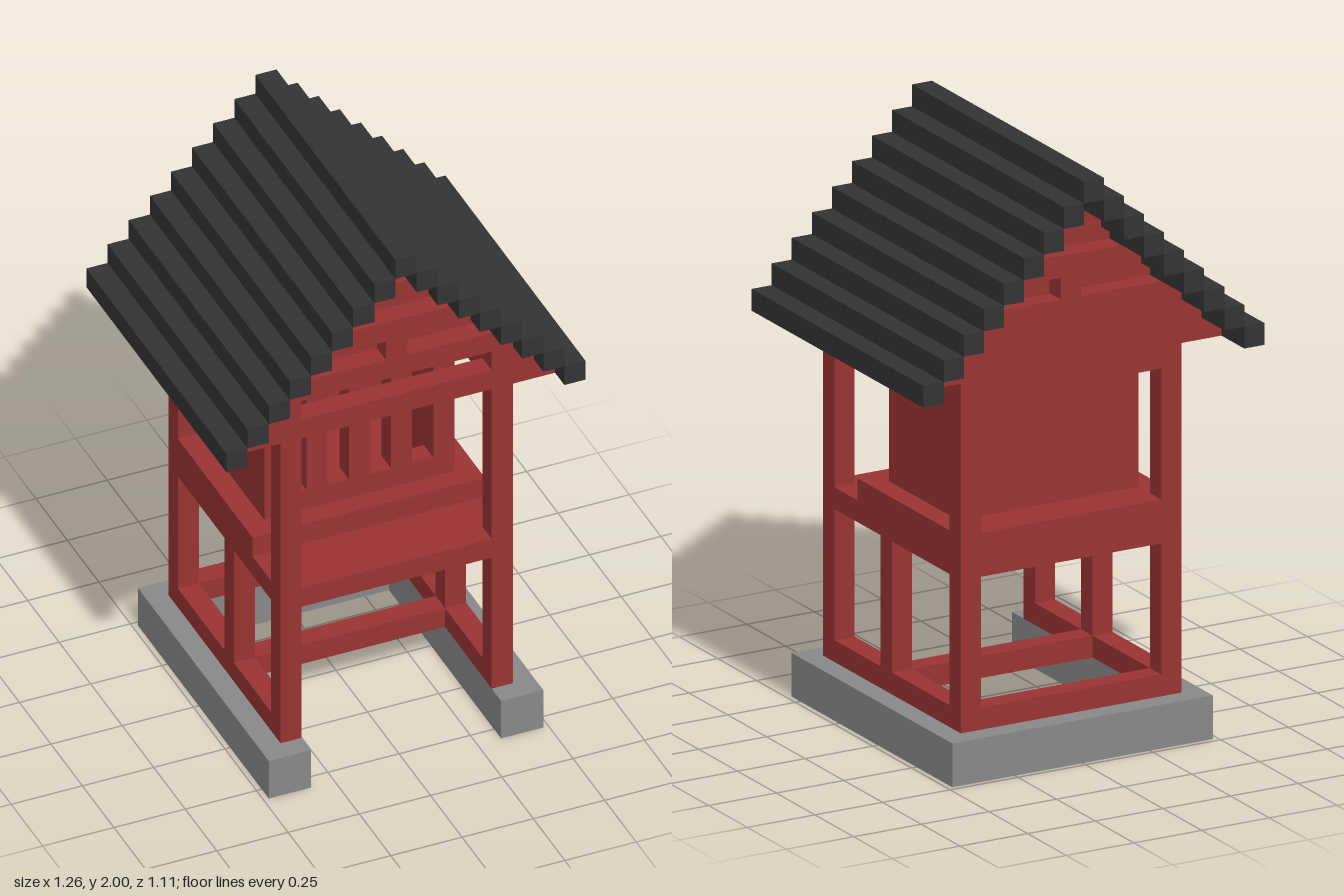
import * as THREE from 'three';

const U = 2 / 27; // one block
const material = (name, color) => Object.assign(new THREE.MeshStandardMaterial({ color }), { name });

export function createModel() {
  const red = material('red paint', 0x993333);
  const dark = material('dark roof', 0x333333);
  const gray = material('gray stone', 0x888888);
  const model = new THREE.Group();
  model.name = 'woodenShrine';

  // Box between two corners, given in blocks
  function box(name, mat, x0, x1, y0, y1, z0, z1) {
    const mesh = new THREE.Mesh(new THREE.BoxGeometry((x1 - x0) * U, (y1 - y0) * U, (z1 - z0) * U), mat);
    mesh.position.set((x0 + x1) / 2 * U, (y0 + y1) / 2 * U, (z0 + z1) / 2 * U);
    mesh.name = name;
    model.add(mesh);
  }
  // The same box on both sides
  function pair(name, mat, x0, x1, ...rest) {
    box(name + 'Left', mat, x0, x1, ...rest);
    box(name + 'Right', mat, -x1, -x0, ...rest);
  }

  // Stone base, open at the front
  pair('stoneBaseArm', gray, 4.5, 6.5, 0, 2, -6.5, 7.5);
  box('stoneBaseBack', gray, -4.5, 4.5, 0, 2, -6.5, -4.5);

  // Posts and bottom rails
  pair('frontPost', red, 4.5, 5.5, 2, 18, 5.5, 6.5);
  pair('backPost', red, 4.5, 5.5, 2, 18, -5.5, -4.5);
  pair('middlePost', red, 4.5, 5.5, 3, 9, 0.5, 1.5);
  pair('sideRail', red, 4.5, 5.5, 2, 3, -4.5, 5.5);
  box('backRail', red, -4.5, 4.5, 2, 3, -5.5, -4.5);
  box('middleRail', red, -4.5, 4.5, 2, 3, 0.5, 1.5);

  // Floor and raised step
  box('floor', red, -5.5, 5.5, 9, 10, -5.5, 6.5);
  box('step', red, -5.5, 5.5, 10, 11, -5.5, 3.5);

  // Hollow cabinet with slotted front
  pair('cabinetSide', red, 3.5, 4.5, 11, 20, -3.5, 2.5);
  box('cabinetBack', red, -3.5, 3.5, 11, 20, -3.5, -2.5);
  box('cabinetSill', red, -3.5, 3.5, 11, 12, 1.5, 2.5);
  for (const x of [-2, 0, 2]) box('cabinetBar', red, x - 0.5, x + 0.5, 12, 20, 1.5, 2.5);

  // Beams and eaves around the top of the posts
  box('frontBeam', red, -4.5, 4.5, 18, 19, 5.5, 6.5);
  box('backBeam', red, -4.5, 4.5, 17, 20, -5.5, -4.5);
  pair('lowerEave', red, 4.5, 7.5, 18, 19, -5.5, 6.5);
  pair('upperEave', red, 4.5, 6.5, 19, 20, -5.5, 6.5);

  // Gable rows, every second one set back
  for (let y = 20; y < 26; y++) {
    const w = 25.5 - y, inset = y % 2;
    box('gableRow', red, -w, w, y, y + 1, -5.5 + inset, 6.5 - inset);
  }
  box('frontStrut', red, -0.5, 0.5, 21, 22, 5.5, 6.5);
  box('backStrut', red, -0.5, 0.5, 21, 22, -5.5, -4.5);

  // Stepped roof and ridge
  for (let k = 0; k < 8; k++) pair('roofStep', dark, 7.5 - k, 8.5 - k, 18 + k, 19 + k, -7.5, 7.5);
  box('roofRidge', dark, -0.5, 0.5, 26, 27, -7.5, 7.5);

  return model;
}
